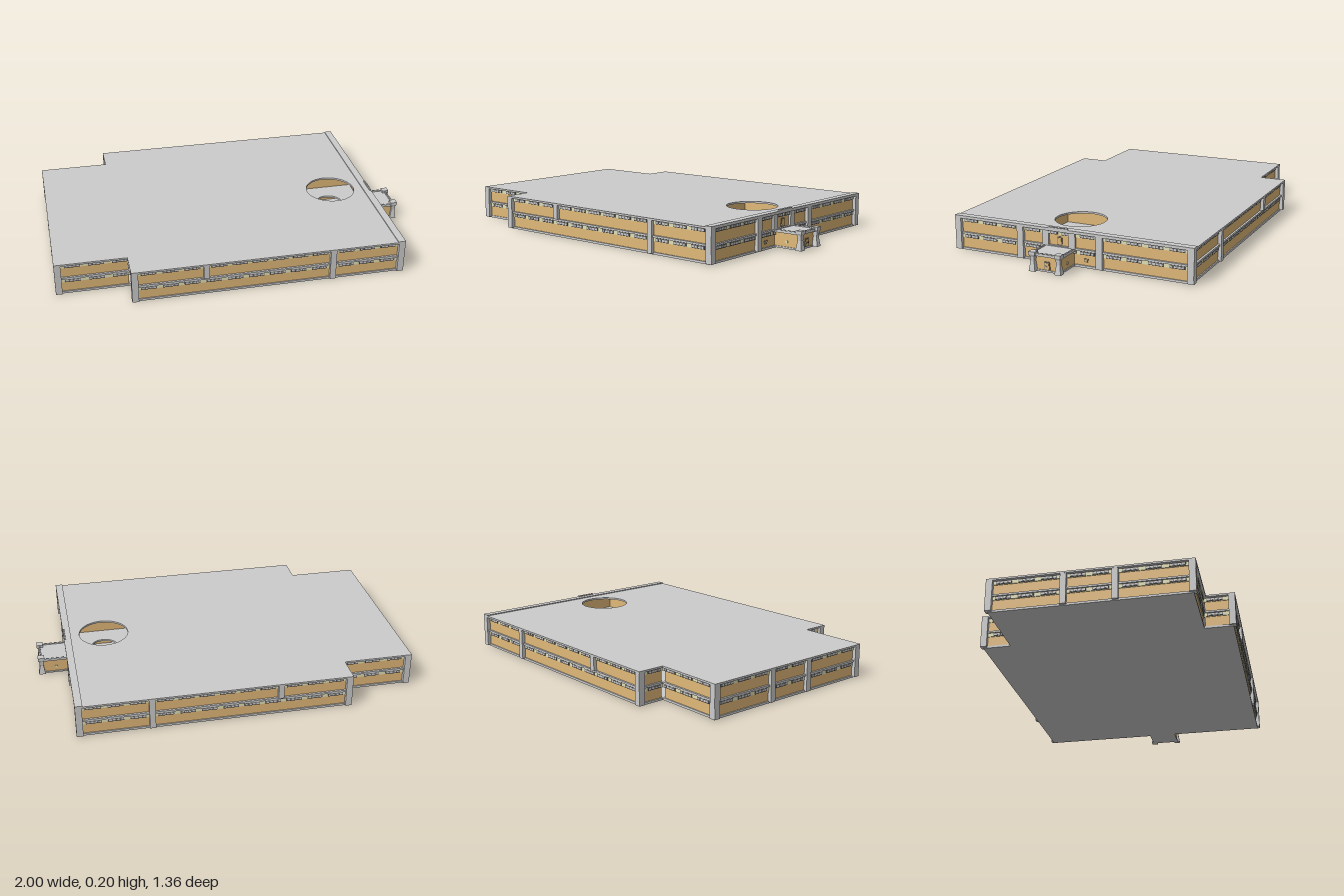
import * as THREE from 'three';
import { mergeGeometries } from 'three/addons/utils/BufferGeometryUtils.js';

const mat = (color) => new THREE.MeshStandardMaterial({ color, flatShading: true });
const GREY = mat(0xcccccc), TAN = mat(0xe0b878), CREAM = mat(0xe2dfb4), DARK = mat(0x777777);
const HALL = { x: 0.62, z: 0.045, half: 0.18 };

// Box geometry given by its min and max on each axis
function box(x0, x1, y0, y1, z0, z1) {
  return new THREE.BoxGeometry(x1 - x0, y1 - y0, z1 - z0)
    .translate((x0 + x1) / 2, (y0 + y1) / 2, (z0 + z1) / 2);
}

function addMesh(parent, name, geometries, material) {
  const list = [geometries].flat();
  if (!list.length) return;
  const mesh = new THREE.Mesh(list.length > 1 ? mergeGeometries(list) : list[0], material);
  mesh.name = name;
  parent.add(mesh);
}

// Stepped floor plan as a flat slab, with an optional round opening
function slab(inset, y0, y1, holeRadius) {
  const i = inset;
  const pts = [[-1 + i, -0.53 + i], [-0.62 + i, -0.53 + i], [-0.62 + i, -0.68 + i], [0.845 - i, -0.68 + i],
    [0.845 - i, 0.68 - i], [-0.62 + i, 0.68 - i], [-0.62 + i, 0.53 - i], [-1 + i, 0.53 - i]];
  const shape = new THREE.Shape(pts.map(([x, y]) => new THREE.Vector2(x, y)));
  if (holeRadius) {
    const hole = new THREE.Path();
    hole.absarc(HALL.x, -HALL.z, holeRadius, 0, Math.PI * 2, true);
    shape.holes.push(hole);
  }
  return new THREE.ExtrudeGeometry(shape, { depth: y1 - y0, bevelEnabled: false, curveSegments: 32 })
    .rotateX(-Math.PI / 2).translate(0, y0, 0);
}

// One side of the building; local x runs along it and +z points outwards.
// pillars: [start, end, upperOnly]
function facade(name, u0, u1, pillars, x, z, angle) {
  const g = new THREE.Group();
  g.name = name;
  addMesh(g, 'wall', box(u0 + 0.02, u1 - 0.02, 0.01, 0.176, -0.04, -0.02), TAN);
  addMesh(g, 'pillars', pillars.map(([a, b, upper]) =>
    box(a, b, upper ? 0.098 : 0.005, 0.178, -0.035, -0.001)), GREY);

  const strips = [], frames = [], panes = [];
  for (const [sill, isUpper] of [[0.067, false], [0.154, true]]) {
    // Bays lie between neighbouring pillars of this storey
    const cuts = pillars.filter((p) => isUpper || !p[2]).sort((a, b) => a[0] - b[0]);
    const edges = [u0, ...cuts.flatMap(([a, b]) => [a, b]), u1];
    for (let i = 0; i < edges.length; i += 2) {
      const a = edges[i], b = edges[i + 1], length = b - a;
      if (length < 0.05) continue;
      strips.push(box(a, b, sill, sill + 0.021, -0.03, -0.016));
      const count = Math.max(1, Math.round(length / 0.11)), pitch = length / count;
      for (let k = 0; k < count; k++) {
        const c = a + (k + 0.5) * pitch;
        frames.push(box(c - 0.041, c + 0.041, sill + 0.002, sill + 0.019, -0.02, -0.012));
        for (let p = 0; p < 4; p++) {
          const pc = c + (p - 1.5) * 0.02;
          panes.push(box(pc - 0.007, pc + 0.007, sill + 0.006, sill + 0.015, -0.014, -0.011));
        }
      }
    }
  }
  addMesh(g, 'windowStrip', strips, CREAM);
  addMesh(g, 'windowFrames', frames, DARK);
  addMesh(g, 'windowPanes', panes, GREY);
  g.position.set(x, 0, z);
  g.rotation.y = angle;
  return g;
}

// Tapered opening: dark surround with a tan infill, facing +x
function taperedOpening(w, h, topScale, x, y, z) {
  const make = (s, depth) => {
    const shape = new THREE.Shape([[-w, 0], [w, 0], [w * topScale, h], [-w * topScale, h]]
      .map(([a, b]) => new THREE.Vector2(a * s, h / 2 + (b - h / 2) * s)));
    return new THREE.ExtrudeGeometry(shape, { depth, bevelEnabled: false })
      .rotateY(Math.PI / 2).translate(x, y, z);
  };
  const g = new THREE.Group();
  g.name = 'opening';
  addMesh(g, 'surround', make(1, 0.004), DARK);
  addMesh(g, 'infill', make(0.75, 0.006), TAN);
  return g;
}

function gatehouse() {
  const g = new THREE.Group();
  g.name = 'gatehouse';
  const zc = 0.053;
  addMesh(g, 'gateBody', box(0.82, 0.97, 0.01, 0.086, zc - 0.075, zc + 0.075), TAN);
  addMesh(g, 'gateBase', box(0.82, 0.975, 0.003, 0.012, zc - 0.08, zc + 0.08), GREY);
  addMesh(g, 'gateDeck', box(0.82, 0.985, 0.084, 0.093, zc - 0.088, zc + 0.088), GREY);
  const rim = [box(0.976, 0.985, 0.092, 0.097, zc - 0.06, zc + 0.06)];
  for (const s of [-1, 1]) {
    // Hourglass corner pylons
    const profile = [[0, 0.004], [0.018, 0.004], [0.01, 0.055], [0.012, 0.08], [0.018, 0.092],
      [0.018, 0.107], [0, 0.107]].map(([r, y]) => new THREE.Vector2(r * Math.SQRT2, y));
    addMesh(g, 'cornerPylon', new THREE.LatheGeometry(profile, 4, Math.PI / 4)
      .translate(0.981, 0, zc + s * 0.073), GREY);
    const zs = zc + s * 0.084;
    rim.push(box(0.845, 0.965, 0.092, 0.097, zs - 0.004, zs + 0.004));
    for (let i = 0; i < 4; i++) {
      const x = 0.855 + i * 0.028;
      rim.push(box(x, x + 0.014, 0.096, 0.101, zs - 0.004, zs + 0.004));
    }
    // Round side windows
    addMesh(g, 'roundWindow', new THREE.CylinderGeometry(0.008, 0.008, 0.006, 16)
      .rotateX(Math.PI / 2).translate(0.9, 0.038, zc + s * 0.075), CREAM);
  }
  for (let i = 0; i < 5; i++) {
    const z = zc + (i - 2) * 0.025;
    rim.push(box(0.976, 0.985, 0.096, 0.101, z - 0.006, z + 0.006));
  }
  addMesh(g, 'battlements', rim, GREY);
  g.add(taperedOpening(0.019, 0.045, 0.75, 0.97, 0.011, zc));
  addMesh(g, 'doorHatch', box(0.97, 0.978, 0.03, 0.037, zc - 0.006, zc + 0.006), DARK);
  return g;
}

export function createModel() {
  const model = new THREE.Group();
  model.name = 'fortress';

  // Slabs
  addMesh(model, 'base', slab(0.014, 0, 0.012, 0), GREY);
  addMesh(model, 'middleFloor', slab(0.009, 0.088, 0.098, 0.075), GREY);
  addMesh(model, 'roof', slab(0, 0.175, 0.185, 0.137), GREY);
  addMesh(model, 'eastParapet', box(0.805, 0.845, 0.184, 0.19, -0.68, 0.68), GREY);

  // Long sides with their annex and step; the back mirrors the front
  for (const s of [1, -1]) {
    const turn = s > 0 ? 0 : Math.PI;
    const span = (a, b, upper) => (s > 0 ? [a, b, upper] : [-b, -a, upper]);
    const side = s > 0 ? 'front' : 'back';
    const [m0, m1] = span(-0.62, 0.845), [n0, n1] = span(-1, -0.595);
    model.add(facade(side + 'Facade', m0, m1, [span(-0.62, -0.587), span(-0.245, -0.215, true),
      span(0.435, 0.467), span(0.81, 0.845)], 0, s * 0.68, turn));
    model.add(facade(side + 'AnnexFacade', n0, n1, [span(-1, -0.967)], 0, s * 0.53, turn));
    // Short step between main block and annex, facing west
    const [k0, k1] = s > 0 ? [0.5, 0.68] : [-0.68, -0.5];
    model.add(facade(side + 'Step', k0, k1, [s > 0 ? [0.645, 0.68] : [-0.68, -0.645]],
      -0.62, 0, -Math.PI / 2));
  }
  model.add(facade('westFacade', -0.53, 0.53, [[-0.53, -0.497], [-0.147, -0.115], [0.115, 0.147],
    [0.497, 0.53]], -1, 0, -Math.PI / 2));
  model.add(facade('eastFacade', -0.68, 0.68, [[-0.68, -0.645], [-0.302, -0.266], [0.152, 0.188],
    [0.645, 0.68]], 0.845, 0, Math.PI / 2));

  // East entrance details
  model.add(gatehouse());
  model.add(taperedOpening(0.016, 0.045, 0.85, 0.825, 0.1, 0.06));
  for (const z of [0.21, -0.09]) model.add(taperedOpening(0.009, 0.018, 1.3, 0.825, 0.03, z));
  for (const z of [0.137, -0.015]) {
    addMesh(model, 'entrancePier', box(0.81, 0.838, 0.098, 0.176, z - 0.018, z + 0.018), GREY);
  }
  const crest = [box(0.835, 0.845, 0.186, 0.193, 0.005, 0.115)];
  for (let i = 0; i < 6; i++) {
    crest.push(box(0.835, 0.845, 0.192, 0.196, 0.005 + i * 0.0195, 0.0175 + i * 0.0195));
  }
  addMesh(model, 'roofCrest', crest, GREY);

  // Square hall beneath the round roof opening
  const { x, z, half: h } = HALL, t = 0.006;
  addMesh(model, 'hallWalls', [
    box(x - h - t, x - h, 0.01, 0.176, z - h, z + h), box(x + h, x + h + t, 0.01, 0.176, z - h, z + h),
    box(x - h, x + h, 0.01, 0.176, z - h - t, z - h), box(x - h, x + h, 0.01, 0.176, z + h, z + h + t),
  ], TAN);
  return model;
}
